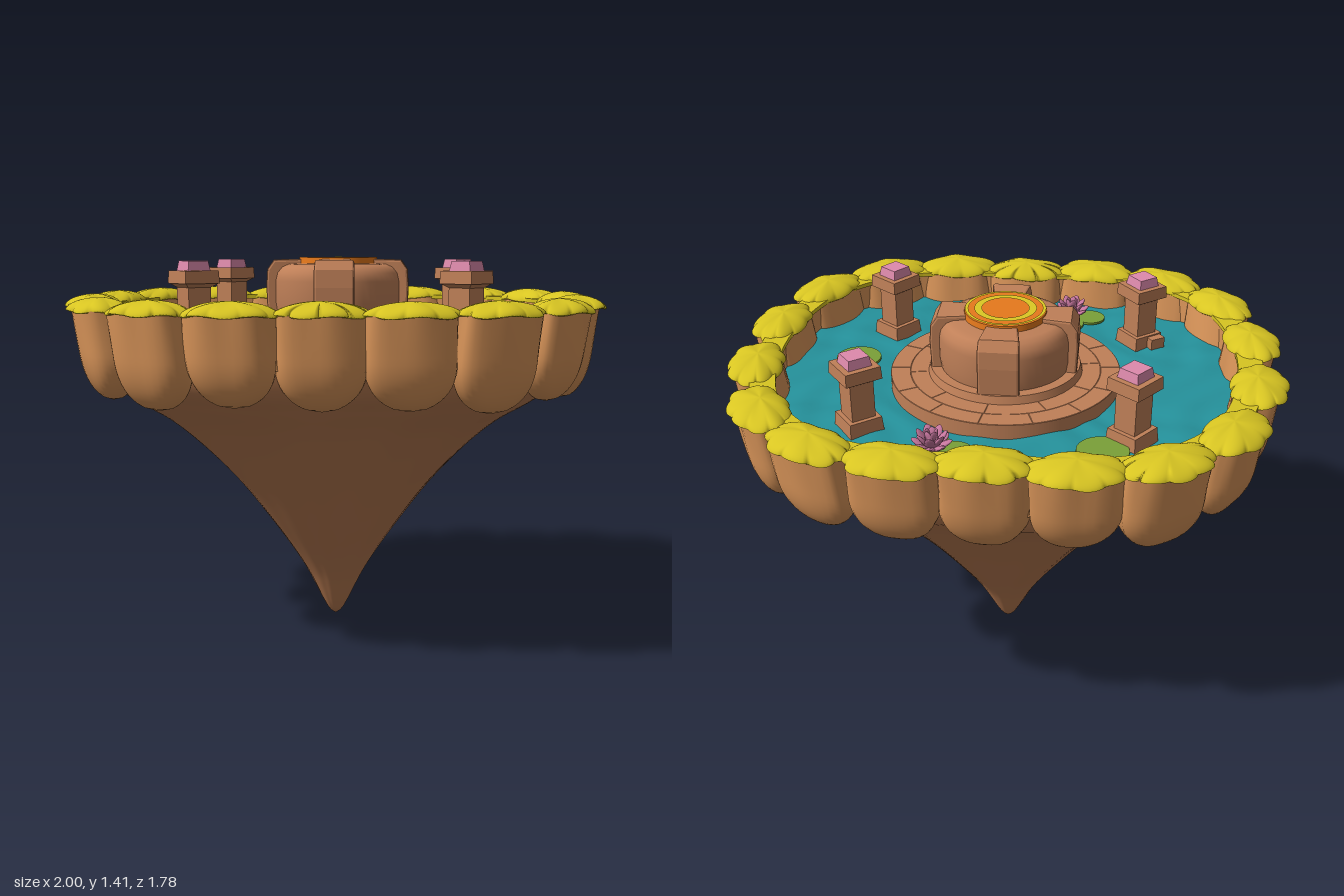
import * as THREE from 'three';
import { ParametricGeometry } from 'three/addons/geometries/ParametricGeometry.js';

const mat = (name, color) => {
  const m = new THREE.MeshStandardMaterial({ color });
  m.name = name;
  return m;
};

export function createModel() {
  const M = {
    earth: mat('dark earth', 0xba7c52),
    rock: mat('tan rock', 0xdb965a),
    stone: mat('carved stone', 0xc08058),
    water: mat('teal water', 0x25929c),
    grass: mat('yellow grass', 0xd8c522),
    orange: mat('orange glow', 0xe87a1c),
    gold: mat('gold', 0xdcc824),
    lily: mat('lily green', 0x7aa038),
    pink: mat('pink crystal', 0xde8aac),
    petal: mat('lotus petal', 0xc6769e),
  };
  const model = new THREE.Group();
  model.name = 'floatingIsland';
  const add = (parent, name, geo, material, x = 0, y = 0, z = 0) => {
    const m = new THREE.Mesh(geo, material);
    m.name = name;
    m.position.set(x, y, z);
    parent.add(m);
    return m;
  };
  const group = (name, x = 0, y = 0, z = 0, ry = 0) => {
    const g = new THREE.Group();
    g.name = name;
    g.position.set(x, y, z);
    g.rotation.y = ry;
    model.add(g);
    return g;
  };
  const TAU = Math.PI * 2;
  // radius of a rounded square in direction a, exponent n
  const squarish = (a, n) =>
    Math.pow(Math.abs(Math.sin(a)) ** n + Math.abs(Math.cos(a)) ** n, -1 / n);

  // Underside: fluted cone, wider in x than in z
  const cone = new THREE.CatmullRomCurve3([
    [0, 0, 0], [0.025, 0.02, 0.025], [0.12, 0.2, 0.125], [0.255, 0.4, 0.265], [0.41, 0.6, 0.41],
    [0.62, 0.8, 0.57], [0.78, 0.9, 0.67], [0.85, 0.97, 0.735], [0.89, 1.1, 0.775],
  ].map(p => new THREE.Vector3(...p)));
  add(model, 'earthCone', new ParametricGeometry((u, v, t) => {
    const a = u * TAU, p = cone.getPoint(v);
    const k = squarish(a, 2 + 0.35 * v) *
      (1 + 0.01 * Math.sin(a * 7 + 4 * v) + 0.005 * Math.sin(a * 16 - 7 * v));
    t.set(p.x * Math.sin(a) * k, p.y, p.z * Math.cos(a) * k);
  }, 108, 36), M.earth);

  // Rim centres, one quadrant mirrored into a closed ring
  const q = [[0.29, 0.775], [0.57, 0.7], [0.785, 0.495], [0.885, 0.175]];
  const back = [...q].reverse();
  const rim = [[0, 0.765], ...q, ...back.map(([x, z]) => [x, -z]), [0, -0.765],
    ...q.map(([x, z]) => [-x, -z]), ...back.map(([x, z]) => [-x, z])];
  const outline = new THREE.CatmullRomCurve3(
    rim.map(([x, z]) => new THREE.Vector3(x, 0, z)), true);

  // Wall and turf filling the gaps between the boulders
  const ringBand = (outer, inner, depth) => {
    const pts = k => outline.getPoints(90).map(p => new THREE.Vector2(p.x * k, -p.z * k));
    const s = new THREE.Shape(pts(outer));
    s.holes.push(new THREE.Path(pts(inner)));
    return new THREE.ExtrudeGeometry(s, { depth, bevelEnabled: false }).rotateX(-Math.PI / 2);
  };
  add(model, 'rimWall', ringBand(1.01, 0.945, 0.18), M.rock, 0, 1.05, 0);
  add(model, 'turfRing', ringBand(1.025, 0.925, 0.016), M.grass, 0, 1.222, 0);

  // Boulders, each with an overhanging scalloped cap of grass
  rim.forEach(([x, z], i) => {
    const p = rim[(i + 17) % 18], n = rim[(i + 1) % 18];
    const g = group('rimBoulder', x, 0, z, Math.atan2(-(n[1] - p[1]), n[0] - p[0]));
    const low = 0.9 + 0.012 * (1 + Math.sin(i * 2.7));
    add(g, 'boulder', new ParametricGeometry((u, v, t) => {
      const a = u * TAU, s = v * v * 0.5 + v * 0.5;
      const y = low + (1.232 - low) * s;
      const f = Math.sqrt(1 - Math.pow(1 - Math.min(s / 0.55, 1), 2.3));
      const k = f * squarish(a, 2.6) *
        (1 + 0.025 * Math.sin(a * 7 + i) * s + 0.02 * Math.sin(a * 4 + i * 2 + s * 5));
      t.set(0.15 * k * Math.sin(a), y, 0.083 * k * Math.cos(a) + (y - 1.2) * 0.13);
    }, 36, 16), M.rock);
    add(g, 'grassCap', new ParametricGeometry((u, v, t) => {
      const a = u * TAU, s = Math.max(0, (v - 0.2) / 0.8) * Math.PI / 2;
      const r = v < 0.2 ? v / 0.2 : Math.cos(s);
      const lobe = 0.87 + 0.13 * Math.sqrt(Math.abs(Math.sin(a * 4.5 + i)));
      const k = r * squarish(a, 2.1) * (1 + (lobe - 1) * r ** 3);
      const rise = v < 0.2 ? -0.006 * r : 0.044 * Math.sin(s) - 0.006 * r;
      t.set(0.166 * k * Math.sin(a), 1.231 + rise + 0.004 * r * Math.sin(a * 5 + i),
        (Math.cos(a) > 0 ? 0.115 : 0.095) * k * Math.cos(a));
    }, 72, 16), M.grass);
  });

  // Pond with soft ripples
  add(model, 'water', new ParametricGeometry((u, v, t) => {
    const p = outline.getPoint(u), k = 1 - v;
    const x = p.x * k, z = p.z * k;
    t.set(x, 1.12 + 0.006 * Math.sin(x * 19 + 2 * Math.sin(z * 11)) *
      Math.sin(z * 17 + 2 * Math.sin(x * 9)), z);
  }, 110, 40), M.water);

  // Curved paving stones: ring sectors with fine bevelled edges
  const arcBlock = (r0, r1, a0, a1, h, b) => {
    const s = new THREE.Shape();
    s.absarc(0, 0, r1 - b, a0 + b / r1, a1 - b / r1, false);
    s.absarc(0, 0, r0 + b, a1 - b / r0, a0 + b / r0, true);
    return new THREE.ExtrudeGeometry(s, {
      depth: h - 2 * b, bevelThickness: b, bevelSize: b, bevelSegments: 1, curveSegments: 10,
    }).translate(0, 0, b).rotateX(-Math.PI / 2);
  };
  const dais = group('dais', 0.01);
  add(dais, 'daisCore', new THREE.CylinderGeometry(0.415, 0.415, 0.08, 64), M.stone, 0, 1.13, 0);
  for (const [count, start, r0, r1] of [[14, 0.1, 0.35, 0.422], [10, 0.2, 0.25, 0.35]]) {
    for (let i = 0; i < count; i++) {
      const a = start + i * TAU / count;
      add(dais, 'paver', arcBlock(r0, r1, a, a + TAU / count, 0.082, 0.0015),
        M.stone, 0, 1.09, 0);
    }
  }

  // Rounded drum with four buttresses and a glowing medallion
  const drum = group('drum', 0.01);
  add(drum, 'drumStep', new THREE.CylinderGeometry(0.275, 0.285, 0.035, 48), M.stone, 0, 1.183, 0);
  const drumProfile = [[0.235, 1.19], [0.243, 1.24], [0.243, 1.32], [0.236, 1.35], [0.218, 1.372],
    [0.195, 1.382], [0.14, 1.386]].map(p => new THREE.Vector2(...p));
  add(drum, 'drumBody', new THREE.LatheGeometry(drumProfile, 56), M.stone);
  const side = new THREE.Shape([[0.11, 1.17], [0.255, 1.17], [0.26, 1.3], [0.256, 1.36],
    [0.235, 1.39], [0.11, 1.393]].map(p => new THREE.Vector2(...p)));
  for (let i = 0; i < 4; i++) {
    const buttress = new THREE.ExtrudeGeometry(side, {
      depth: 0.13, bevelThickness: 0.009, bevelSize: 0.009, bevelSegments: 2,
    }).translate(0, 0, -0.065);
    // taper towards the middle
    const pos = buttress.attributes.position;
    for (let j = 0; j < pos.count; j++) {
      pos.setZ(j, pos.getZ(j) * (0.5 + 0.5 * Math.min(1, pos.getX(j) / 0.25)));
    }
    buttress.computeVertexNormals();
    add(drum, 'buttress', buttress, M.stone).rotation.y = i * Math.PI / 2;
  }
  add(drum, 'medallion', new THREE.CylinderGeometry(0.148, 0.152, 0.05, 48), M.orange, 0, 1.383, 0);
  for (const [r0, r1] of [[0.085, 0.112], [0.134, 0.146]]) {
    const ring = new THREE.RingGeometry(r0, r1, 48).rotateX(-Math.PI / 2);
    add(drum, 'medallionRing', ring, M.gold, 0, 1.412, 0);
  }

  // Four corner pillars topped with crystals; w0, w1 are bottom and top widths
  const block = (w0, w1, h) => {
    const g = new THREE.CylinderGeometry(w1 / Math.SQRT2, w0 / Math.SQRT2, h, 4).toNonIndexed();
    g.computeVertexNormals();
    return g;
  };
  for (const [x, z] of [[-0.46, -0.39], [0.48, -0.39], [-0.48, 0.37], [0.48, 0.37]]) {
    const g = group('pillar', x, 0, z, 0.12 * Math.sign(x * z));
    for (const [name, w0, w1, h, y, m] of [
      ['pillarBase', 0.13, 0.12, 0.06, 1.14, M.stone],
      ['pillarShaft', 0.088, 0.088, 0.18, 1.24, M.stone],
      ['pillarNeck', 0.088, 0.13, 0.015, 1.312, M.stone],
      ['pillarCap', 0.135, 0.13, 0.045, 1.341, M.stone],
      ['pillarCrystal', 0.088, 0.076, 0.035, 1.38, M.pink]]) {
      add(g, name, block(w0, w1, h), m, 0, y, 0);
    }
  }
  add(model, 'fallenStone', new THREE.BoxGeometry(0.06, 0.05, 0.05), M.stone, -0.54, 1.14, 0.33)
    .rotation.y = 0.6;

  // Lily pads
  const pad = (x, z, r) =>
    add(model, 'lilyPad', new THREE.CylinderGeometry(r, r, 0.009, 28), M.lily, x, 1.131, z);
  pad(-0.365, -0.49, 0.09);
  pad(0.585, 0.105, 0.085);

  // Lotus flowers on three pads
  for (const [x, z, turn] of [[0.2, -0.55, 0], [-0.205, 0.54, 1]]) {
    pad(x - 0.075, z + 0.01, 0.06);
    pad(x + 0.07, z - 0.04 + turn * 0.045, 0.055);
    pad(x, z + (turn ? -0.06 : 0.06), 0.052);
    const g = group('lotus', x, 1.14, z, turn);
    [[8, 1.05, 0.04], [7, 0.65, 0.044], [5, 0.25, 0.04]].forEach(([n, tilt, len], ring) => {
      for (let i = 0; i < n; i++) {
        const petal = new THREE.SphereGeometry(1, 10, 8).scale(0.02, len, 0.008)
          .translate(0, len, 0).rotateX(tilt).rotateY((i + ring * 0.5) * TAU / n);
        add(g, 'lotusPetal', petal, M.petal);
      }
    });
  }
  return model;
}
